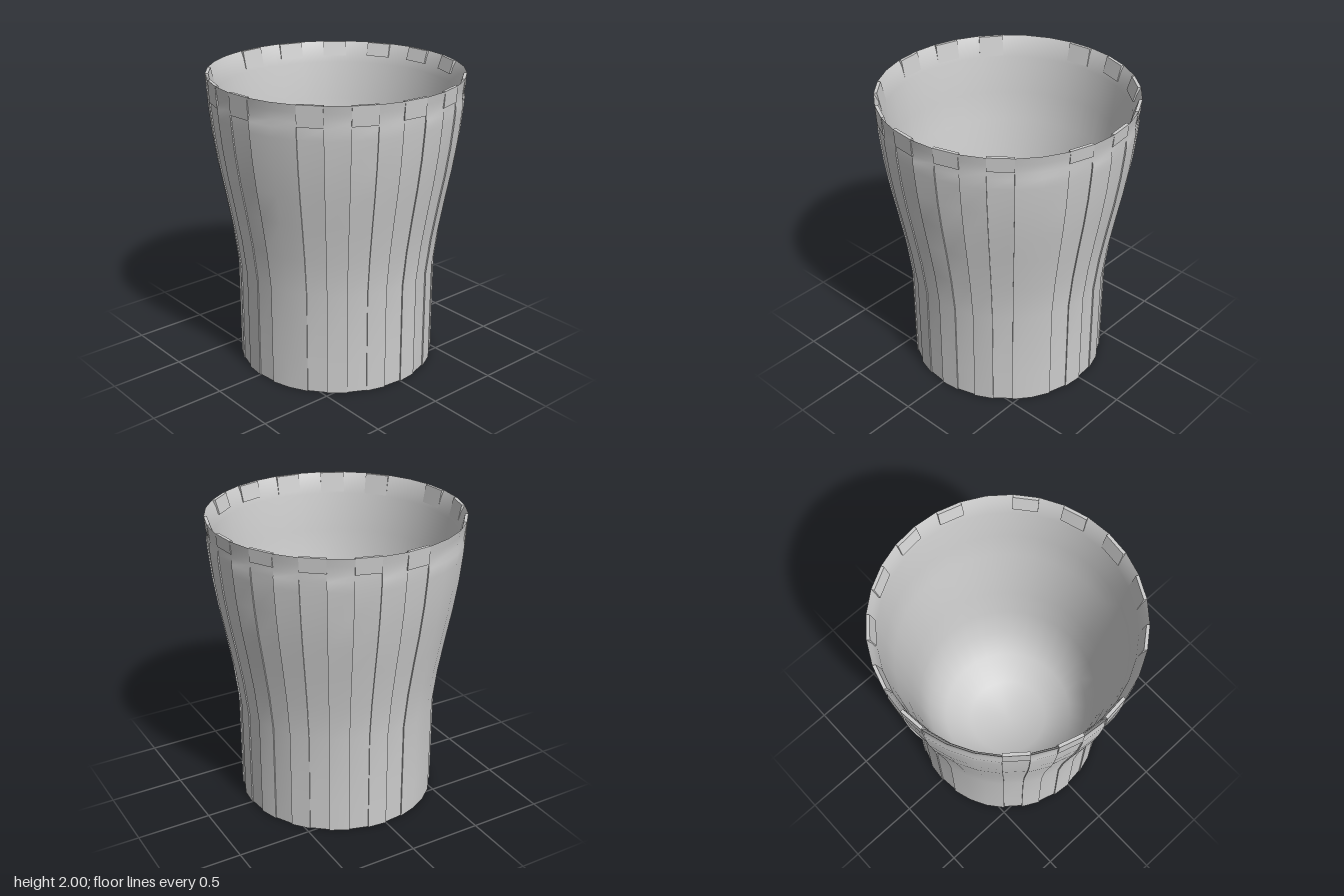
import * as THREE from 'three';
import { toCreasedNormals } from 'three/addons/utils/BufferGeometryUtils.js';

const SEGMENTS = 32;
const STEP = (Math.PI * 2) / SEGMENTS;
// facets carrying a recessed stave, counted from the front towards the left
const STAVES = [0, 3, 5, 7, 9, 11, 14, 16, 18, 20, 22, 24, 28, 30];
const RECESS = 0.008;

// [radius, height, recess factor]: base, outer wall, thin rim, inner wall, rounded floor
const PROFILE = [
  [0, 0, 0], [0.67, 0, 1], [0.67, 0.2, 1], [0.67, 0.7, 1], [0.7, 0.95, 1],
  [0.743, 1.2, 1], [0.78, 1.4, 1], [0.81, 1.6, 1], [0.828, 1.78, 1], [0.833, 1.85, 1],
  [0.825, 1.89, 0], [0.832, 1.95, 0], [0.84, 2, 0],
  [0.815, 1.95, 0], [0.79, 1.86, 0], [0.765, 1.6, 0], [0.73, 1.4, 0], [0.69, 1.2, 0],
  [0.655, 0.95, 0], [0.62, 0.7, 0], [0.57, 0.43, 0], [0.46, 0.25, 0], [0.28, 0.14, 0], [0, 0.1, 0],
];

function cupGeometry() {
  // two angular columns per facet, so that staves can step inwards
  const columns = [];
  for (let k = 0; k < SEGMENTS; k++) {
    const recess = STAVES.includes(k) ? RECESS : 0;
    columns.push([k * STEP, recess], [(k + 1) * STEP, recess]);
  }
  const rows = PROFILE.map(([r, y, f]) => columns.map(([a, recess]) => {
    const radius = Math.max(0, r - recess * f);
    return new THREE.Vector3(radius * Math.sin(a), y, radius * Math.cos(a));
  }));

  const positions = [];
  const triangle = (a, b, c) => {
    const area = b.clone().sub(a).cross(c.clone().sub(a)).length();
    if (area > 1e-7) for (const p of [a, b, c]) positions.push(p.x, p.y, p.z);
  };
  for (let i = 0; i < rows.length - 1; i++) {
    for (let j = 0; j < columns.length; j++) {
      const n = (j + 1) % columns.length;
      triangle(rows[i][j], rows[i][n], rows[i + 1][n]);
      triangle(rows[i][j], rows[i + 1][n], rows[i + 1][j]);
    }
  }
  const geometry = new THREE.BufferGeometry();
  geometry.setAttribute('position', new THREE.Float32BufferAttribute(positions, 3));
  return toCreasedNormals(geometry, Math.PI / 4.5);
}

// flat plate set through the rim above a stave, leaning with the inner chamfer
function tabGeometry(bottom) {
  const width = 2 * 0.83 * Math.sin(STEP / 2);
  const shape = new THREE.Shape([
    new THREE.Vector2(0.787, bottom), new THREE.Vector2(0.829, bottom),
    new THREE.Vector2(0.836, 2), new THREE.Vector2(0.815, 2),
  ]);
  const geometry = new THREE.ExtrudeGeometry(shape, { depth: width, bevelEnabled: false });
  return geometry.translate(0, 0, -width / 2);
}

export function createModel() {
  const group = new THREE.Group();
  group.name = 'ribbedCup';
  const material = new THREE.MeshStandardMaterial({ color: 0xcccccc });

  const cup = new THREE.Mesh(cupGeometry(), material);
  cup.name = 'cupBody';
  group.add(cup);

  // rim tabs, a little shorter towards the back
  const tabs = new THREE.Group();
  tabs.name = 'rimTabs';
  for (const k of STAVES) {
    const angle = (k + 0.5) * STEP;
    const tab = new THREE.Mesh(tabGeometry(1.885 - 0.03 * Math.cos(angle)), material);
    tab.name = 'rimTab';
    tab.rotation.y = angle - Math.PI / 2;
    tabs.add(tab);
  }
  group.add(tabs);
  return group;
}
